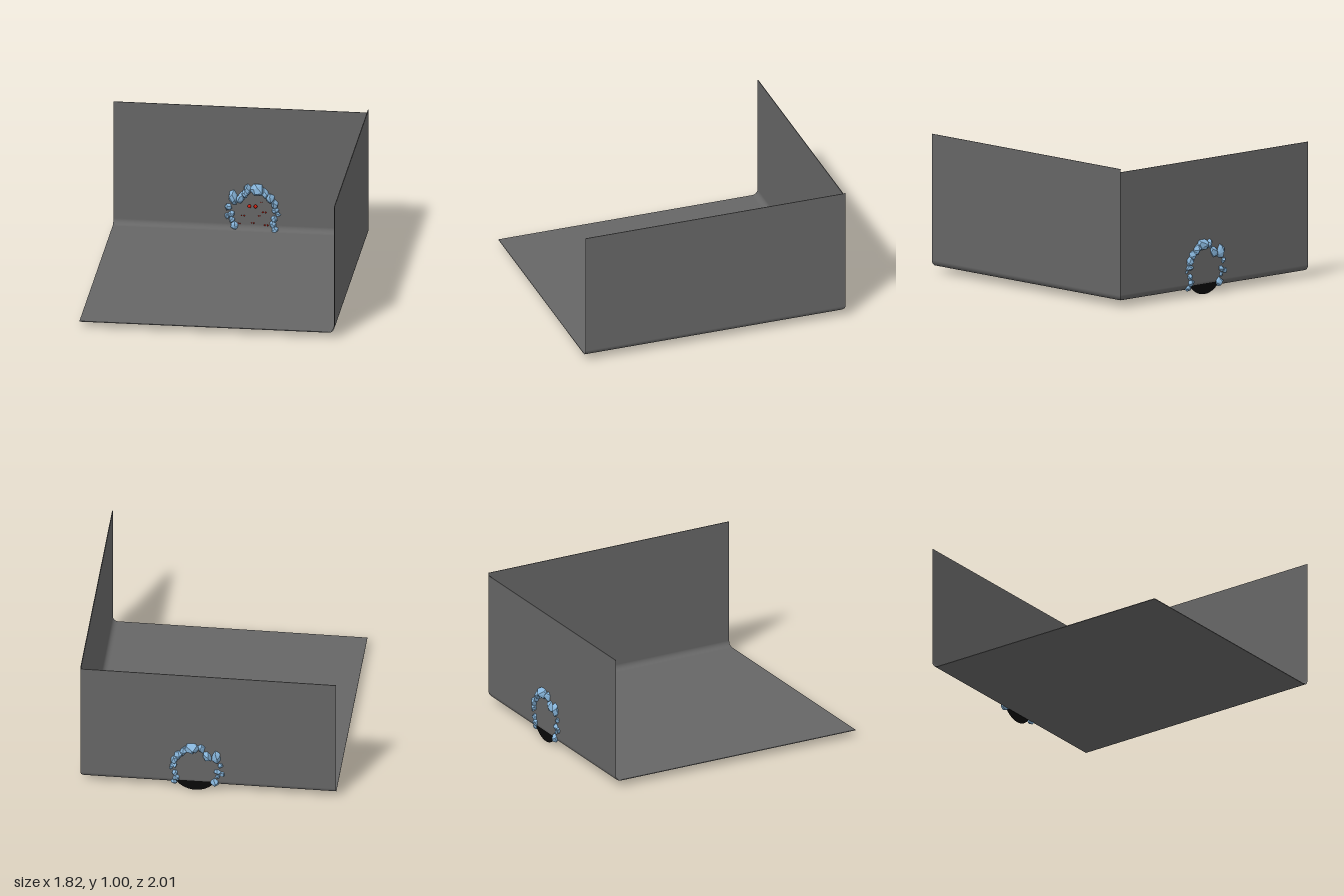
import * as THREE from 'three';
import { ConvexGeometry } from 'three/addons/geometries/ConvexGeometry.js';

const X0 = -0.91, X1 = 0.905, ZB = -0.95, ZF = 1, Y0 = 0.045; // room limits
const R = 0.045, T = 0.005; // bend radius and sheet thickness

const material = (color, extra = {}) => new THREE.MeshStandardMaterial({ color, ...extra });

function add(parent, name, geometry, mat, x = 0, y = 0, z = 0) {
  const mesh = new THREE.Mesh(geometry, mat);
  mesh.name = name;
  mesh.position.set(x, y, z);
  parent.add(mesh);
  return mesh;
}

// Wall section as [inset, height]: straight down, then a quarter bend into the floor
function wallProfile(top, inset) {
  const points = [[inset, top]];
  for (let i = 0; i <= 8; i++) {
    const a = (i / 8) * Math.PI / 2, r = R - inset;
    points.push([R - r * Math.cos(a), Y0 + R - r * Math.sin(a)]);
  }
  return points;
}

// Sheet swept between two ends, each mapping an inset to [x, z]
function sweep(profile, startAt, endAt) {
  const pos = [], index = [];
  profile.forEach(([d, y], i) => {
    const [ax, az] = startAt(d), [bx, bz] = endAt(d);
    pos.push(ax, y, az, bx, y, bz);
    if (i) {
      const k = 2 * i;
      index.push(k - 2, k, k - 1, k - 1, k, k + 1);
    }
  });
  const g = new THREE.BufferGeometry();
  g.setAttribute('position', new THREE.Float32BufferAttribute(pos, 3));
  g.setIndex(index);
  g.computeVertexNormals();
  return g;
}

let seed = 7;
function random() {
  seed = (seed * 16807) % 2147483647;
  return seed / 2147483647;
}

// Faceted boulder: hull of jittered points spread over an ellipsoid
function rockGeometry(w, h, d) {
  const points = [], n = 15;
  for (let i = 0; i < n; i++) {
    const v = 1 - 2 * (i + 0.5) / n, a = i * 2.4 + random() * 0.8;
    const s = Math.sqrt(1 - v * v), k = 0.85 + random() * 0.25;
    points.push(new THREE.Vector3(s * Math.cos(a) * w * k, v * h * k, s * Math.sin(a) * d * k));
  }
  return new ConvexGeometry(points);
}

export function createModel() {
  const model = new THREE.Group();
  const sheet = material(0x666666, { side: THREE.DoubleSide });

  // Floor and the two walls, mitred where they meet
  const fw = X1 - R - X0, fd = ZF - ZB - R;
  add(model, 'floor', new THREE.BoxGeometry(fw, T, fd), sheet, X0 + fw / 2, Y0 + T / 2, ZF - fd / 2);
  const corner = d => [X1 - d, ZB + d];
  for (const inset of [0, T]) {
    const side = inset ? 'Inner' : 'Outer';
    add(model, 'backWall' + side, sweep(wallProfile(0.972, inset), d => [X0, ZB + d], corner), sheet);
    add(model, 'sideWall' + side, sweep(wallProfile(0.995, inset), corner, d => [X1 - d, ZF]), sheet);
  }
  add(model, 'backWallTop', new THREE.BoxGeometry(X1 - X0, 0.002, T), sheet, (X0 + X1) / 2, 0.971, ZB + T / 2);
  add(model, 'sideWallTop', new THREE.BoxGeometry(T, 0.002, ZF - ZB), sheet, X1 - T / 2, 0.994, (ZF + ZB) / 2);

  // Dark cave disc set inside the back wall
  add(model, 'caveOpening', new THREE.CircleGeometry(0.17, 48),
    material(0x080808, { side: THREE.DoubleSide }), 0.09, 0.17, ZB + T / 2);

  // Arch of boulders: x, y, half width, half height, half depth, tilt
  const arch = new THREE.Group();
  arch.name = 'rockArch';
  const blue = material(0x86b4da, { flatShading: true });
  [
    [-0.05, 0.075, 0.032, 0.035, 0.035, 0.3], [-0.068, 0.125, 0.025, 0.025, 0.03, 0],
    [-0.07, 0.165, 0.028, 0.026, 0.035, 0.5], [-0.1, 0.15, 0.022, 0.024, 0.025, 0],
    [-0.09, 0.22, 0.026, 0.026, 0.035, 0.8], [-0.058, 0.29, 0.034, 0.06, 0.045, 0.1],
    [0.002, 0.295, 0.032, 0.052, 0.045, -0.5], [0.045, 0.36, 0.03, 0.045, 0.055, 0.2],
    [0.12, 0.358, 0.062, 0.05, 0.06, -0.2], [0.172, 0.33, 0.03, 0.045, 0.045, 0.5],
    [0.207, 0.295, 0.034, 0.045, 0.045, 0.2], [0.237, 0.25, 0.027, 0.042, 0.045, 0.1],
    [0.243, 0.205, 0.03, 0.026, 0.04, 0], [0.262, 0.178, 0.022, 0.016, 0.025, -0.3],
    [0.235, 0.14, 0.027, 0.028, 0.035, 0.6], [0.225, 0.095, 0.026, 0.03, 0.035, 0.2],
    [0.242, 0.06, 0.028, 0.026, 0.03, 0.4],
  ].forEach(([x, y, w, h, d, tilt], i) => {
    const z = ZB + (i % 3 === 1 ? 0.015 : 0.005);
    add(arch, 'rock', rockGeometry(w, h, d), blue, x, y, z).rotation.z = tilt;
  });
  // Deepest boulders at the crown
  add(arch, 'rock', rockGeometry(0.045, 0.038, 0.042), blue, 0.12, 0.355, -0.958);
  add(arch, 'rock', rockGeometry(0.025, 0.035, 0.045), blue, 0.03, 0.335, -0.905);
  model.add(arch);

  // Pairs of glowing eyes: centre x, y, z, radius, half spacing
  const red = material(0xc81e10);
  [
    [0.083, 0.238, -0.915, 0.013, 0.022], [0.012, 0.157, -0.938, 0.005, 0.01],
    [0.165, 0.187, -0.938, 0.006, 0.01], [0.128, 0.157, -0.94, 0.004, 0.006],
    [0.082, 0.103, -0.938, 0.005, 0.008], [0.178, 0.09, -0.938, 0.006, 0.01],
    [-0.015, 0.097, -0.938, 0.004, 0.007], [0.142, 0.262, -0.94, 0.003, 0.005],
  ].forEach(([x, y, z, r, gap]) => {
    for (const s of [-1, 1]) add(model, 'eye', new THREE.SphereGeometry(r, 16, 12), red, x + s * gap, y, z);
  });

  return model;
}
